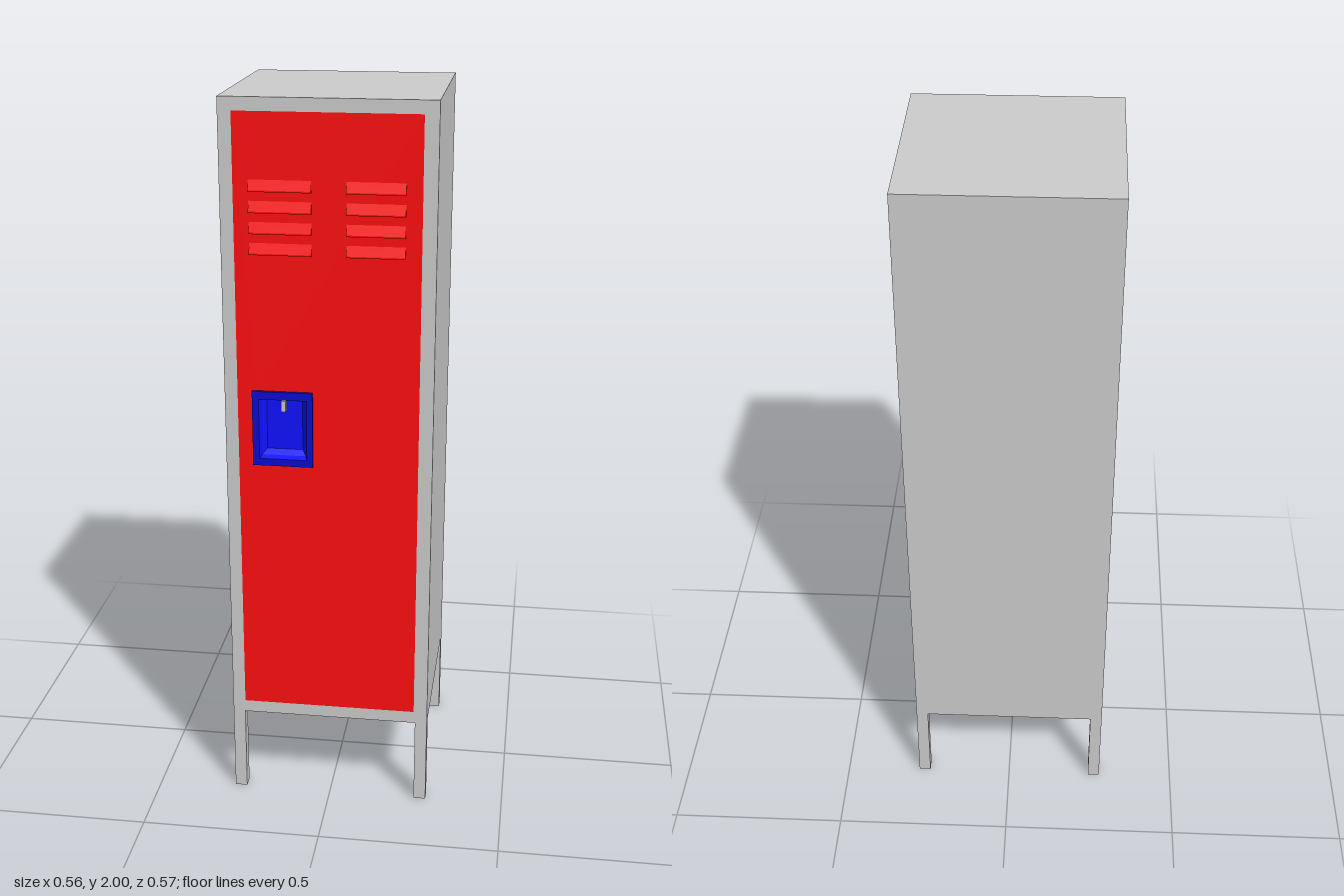
import * as THREE from 'three';

const FRONT = 0.275, BACK = -0.285;
const mat = (color) => new THREE.MeshStandardMaterial({ color, flatShading: true });

// Rectangle path from corner to corner
function rect(Type, x0, y0, x1, y1) {
  const p = new Type();
  p.moveTo(x0, y0);
  p.lineTo(x1, y0);
  p.lineTo(x1, y1);
  p.lineTo(x0, y1);
  p.closePath();
  return p;
}

// Rectangular panel with a rectangular opening, its face at z = front
function openPanel(outer, hole, depth, front) {
  const s = rect(THREE.Shape, ...outer);
  s.holes.push(rect(THREE.Path, ...hole));
  return new THREE.ExtrudeGeometry(s, { depth, bevelEnabled: false }).translate(0, 0, front - depth);
}

// Surface through rectangular rings [x0, y0, x1, y1, z], closed by the last ring
function ringSurface(rings) {
  const pos = [], idx = [];
  rings.forEach(([x0, y0, x1, y1, z]) => pos.push(x0, y0, z, x1, y0, z, x1, y1, z, x0, y1, z));
  for (let r = 0; r < rings.length - 1; r++) {
    for (let i = 0; i < 4; i++) {
      const a = r * 4 + i, b = r * 4 + (i + 1) % 4;
      idx.push(a, b, b + 4, a, b + 4, a + 4);
    }
  }
  const l = (rings.length - 1) * 4;
  idx.push(l, l + 1, l + 2, l, l + 2, l + 3);
  const g = new THREE.BufferGeometry();
  g.setAttribute('position', new THREE.Float32BufferAttribute(pos, 3));
  g.setIndex(idx);
  const flat = g.toNonIndexed();
  flat.computeVertexNormals();
  return flat;
}

export function createModel() {
  const group = new THREE.Group();
  const grey = mat(0xcccccc), red = mat(0xff0f0f), blue = mat(0x1010ff);
  const add = (name, geo, material, parent = group) => {
    const m = new THREE.Mesh(geo, material);
    m.name = name;
    parent.add(m);
    return m;
  };

  // Cabinet shell with the door opening, and its back
  const opening = [-0.245, 0.285, 0.242, 1.965];
  add('cabinet', openPanel([-0.28, 0.25, 0.28, 2], opening, FRONT - BACK, FRONT), grey);
  add('backPanel', new THREE.BoxGeometry(0.487, 1.68, 0.02).translate(-0.0015, 1.125, BACK + 0.01), grey);

  // Four square legs
  const w = 0.034;
  for (const x of [-0.28 + w / 2, 0.28 - w / 2]) {
    for (const z of [BACK + w / 2, FRONT - w / 2]) {
      add('leg', new THREE.BoxGeometry(w, 0.25, w), grey).position.set(x, 0.125, z);
    }
  }

  // Door, cut out for the latch
  add('door', openPanel(opening, [-0.195, 1.03, -0.05, 1.22], 0.02, FRONT), red);

  // Two columns of sloping vent louvers
  const vents = new THREE.Group();
  vents.name = 'vents';
  group.add(vents);
  const wedge = new THREE.Shape([[0, 0], [0.009, 0], [0.009, 0.004], [0, 0.03]].map((p) => new THREE.Vector2(...p)));
  for (const [x0, x1] of [[-0.205, -0.042], [0.048, 0.2]]) {
    for (let i = 0; i < 4; i++) {
      const g = new THREE.ExtrudeGeometry(wedge, { depth: x1 - x0, bevelEnabled: false });
      g.rotateY(-Math.PI / 2);
      add('louver', g, red, vents).position.set(x1, 1.6 + i * 0.0545, FRONT);
    }
  }

  // Latch plate with a recessed finger cup
  add('latchPlate', openPanel([-0.205, 1.02, -0.042, 1.23], [-0.187, 1.04, -0.058, 1.208], 0.009, FRONT + 0.009), mat(0x0c0cd0));
  add('latchCup', ringSurface([
    [-0.187, 1.04, -0.058, 1.208, FRONT + 0.009],
    [-0.182, 1.047, -0.063, 1.203, FRONT - 0.005],
    [-0.17, 1.06, -0.073, 1.2, FRONT - 0.02],
  ]), blue);

  // Small catch at the top of the cup
  add('latchCatch', new THREE.BoxGeometry(0.012, 0.03, 0.02), grey).position.set(-0.122, 1.187, FRONT - 0.01);
  return group;
}
